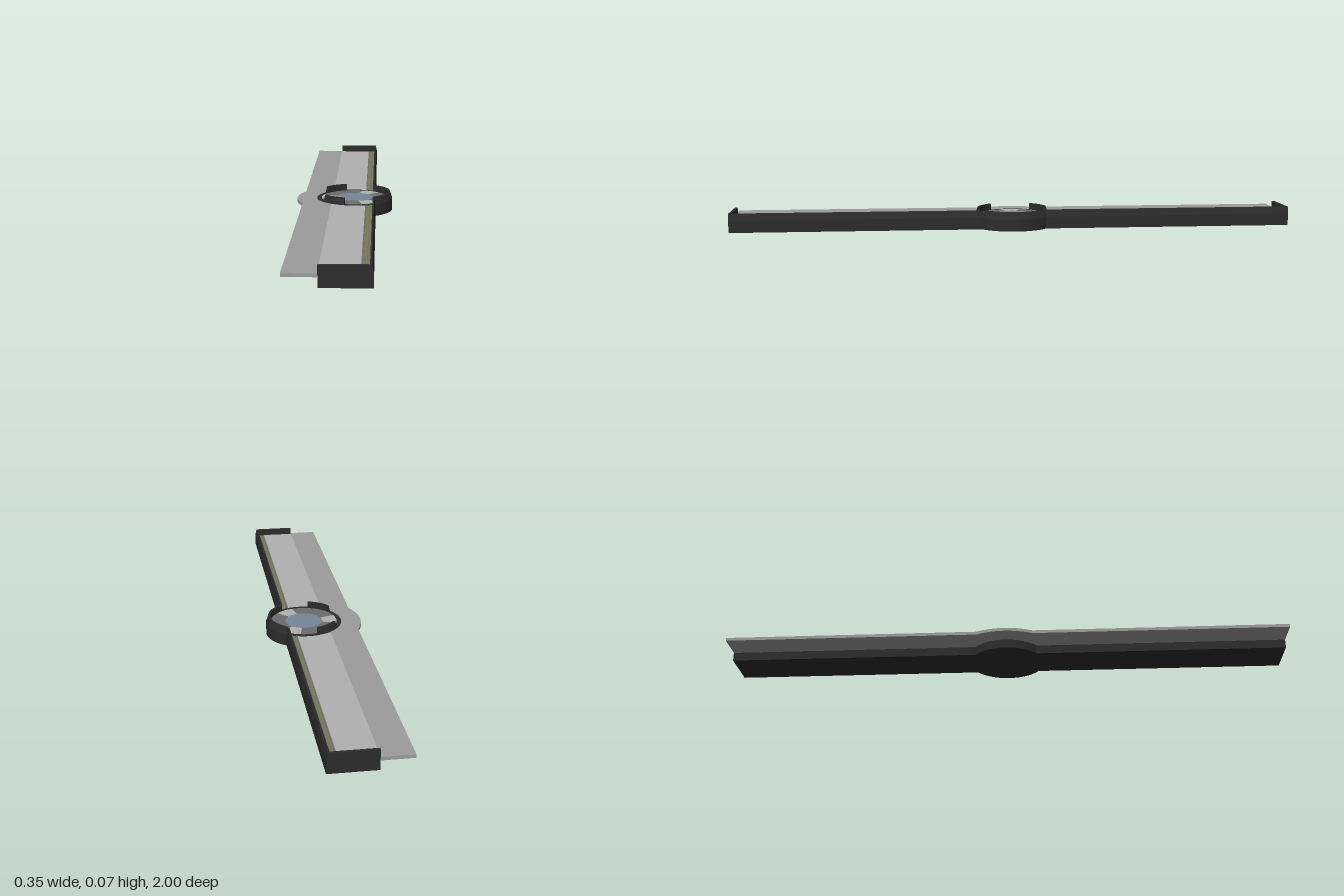
import * as THREE from 'three';

const HUB_X = 0.036, HUB_R = 0.137, DEG = Math.PI / 180;
const mat = (color) => new THREE.MeshStandardMaterial({ color, side: THREE.DoubleSide });

export function createModel() {
  const model = new THREE.Group();
  const dark = mat(0x2c2c2c), light = mat(0xb0b0b0), mid = mat(0x9c9c9c);
  const grey = mat(0x6c6c6c), blue = mat(0x75859a), olive = mat(0x77775a);

  function add(name, geometry, material, x = 0, y = 0, z = 0) {
    const mesh = new THREE.Mesh(geometry, material);
    mesh.name = name;
    mesh.position.set(x, y, z);
    model.add(mesh);
    return mesh;
  }
  function box(name, material, x0, x1, y0, y1, z0, z1) {
    return add(name, new THREE.BoxGeometry(x1 - x0, y1 - y0, z1 - z0), material,
      (x0 + x1) / 2, (y0 + y1) / 2, (z0 + z1) / 2);
  }
  // plan outline raised by h; shape y becomes -z
  function slab(shape, h) {
    return new THREE.ExtrudeGeometry(shape, { depth: h, bevelEnabled: false, curveSegments: 24 })
      .rotateX(-Math.PI / 2);
  }
  function sector(r0, r1, a0, a1) {
    const s = new THREE.Shape();
    s.absarc(0, 0, r1, a0 * DEG, a1 * DEG, false);
    s.absarc(0, 0, r0, a1 * DEG, a0 * DEG, true);
    s.closePath();
    return s;
  }

  // base tray with the round hub
  box('baseTray', dark, -0.044, 0.108, 0, 0.032, -0.995, 0.995);
  add('hubBody', new THREE.CylinderGeometry(HUB_R, HUB_R, 0.0425, 64), dark, HUB_X, 0.02125, 0);

  // long side walls (chamfered outside) and end caps on both halves
  const profile = (x0) => new THREE.Shape([
    [x0, 0], [0.113, 0], [0.113, 0.042], [0.108, 0.067], [x0, 0.067],
  ].map(([x, y]) => new THREE.Vector2(x, y)));
  const run = (x0, length) => new THREE.ExtrudeGeometry(profile(x0), { depth: length, bevelEnabled: false });
  for (const side of [-1, 1]) {
    add('sideWall', run(0.102, 0.89), dark, 0, 0, side > 0 ? 0.11 : -1);
    add('endCap', run(-0.044, 0.01), dark, 0, 0, side > 0 ? 0.99 : -1);
    // narrow strip with two fine ridges beside the wall
    const z0 = side > 0 ? 0.115 : -0.99, z1 = z0 + 0.875;
    box('edgeStrip', olive, 0.076, 0.102, 0.031, 0.041, z0, z1);
    for (const x of [0.078, 0.092]) box('stripRidge', grey, x, x + 0.003, 0.041, 0.0425, z0, z1);
  }

  // flat blade: inner panel and overhanging outer panel with a rounded bulge
  box('innerPanel', light, -0.045, 0.076, 0.031, 0.042, -0.99, 0.99);
  const outer = new THREE.Shape();
  const bulge = Math.acos((-0.148 - HUB_X) / 0.209);
  outer.moveTo(-0.045, 1);
  outer.lineTo(-0.148, 1);
  outer.absarc(HUB_X, 0, 0.209, bulge, 2 * Math.PI - bulge, false);
  outer.lineTo(-0.148, -1);
  outer.lineTo(-0.045, -1);
  outer.closePath();
  add('outerPanel', slab(outer, 0.011), mid, 0, 0.031, 0);

  // raised hub rim: one wide arc and two posts, tapered towards the top
  for (const [name, a0, a1] of [['rimArc', -56, 56], ['rimPost', 105, 144], ['rimPost', 216, 255]]) {
    const g = slab(sector(0.121, HUB_R, a0, a1), 0.026);
    const p = g.attributes.position;
    for (let i = 0; i < p.count; i++) {
      const r = Math.hypot(p.getX(i), p.getZ(i));
      if (p.getY(i) > 0.02 && r > 0.13) {
        p.setX(i, p.getX(i) * 0.129 / r);
        p.setZ(i, p.getZ(i) * 0.129 / r);
      }
    }
    g.computeVertexNormals();
    add(name, g, dark, HUB_X, 0.041, 0);
  }

  // alternating dial sectors around the central disc
  for (let i = 0; i < 3; i++) {
    const a = 60 + i * 120;
    add('lightSector', slab(sector(0.066, 0.12, a - 17, a + 17), 0.003), light, HUB_X, 0.041, 0);
    add('greySector', slab(sector(0.066, 0.12, a + 17, a + 103), 0.003), grey, HUB_X, 0.041, 0);
  }
  add('centreDisc', new THREE.CylinderGeometry(0.067, 0.067, 0.004, 48), blue, HUB_X, 0.0425, 0);

  return model;
}
